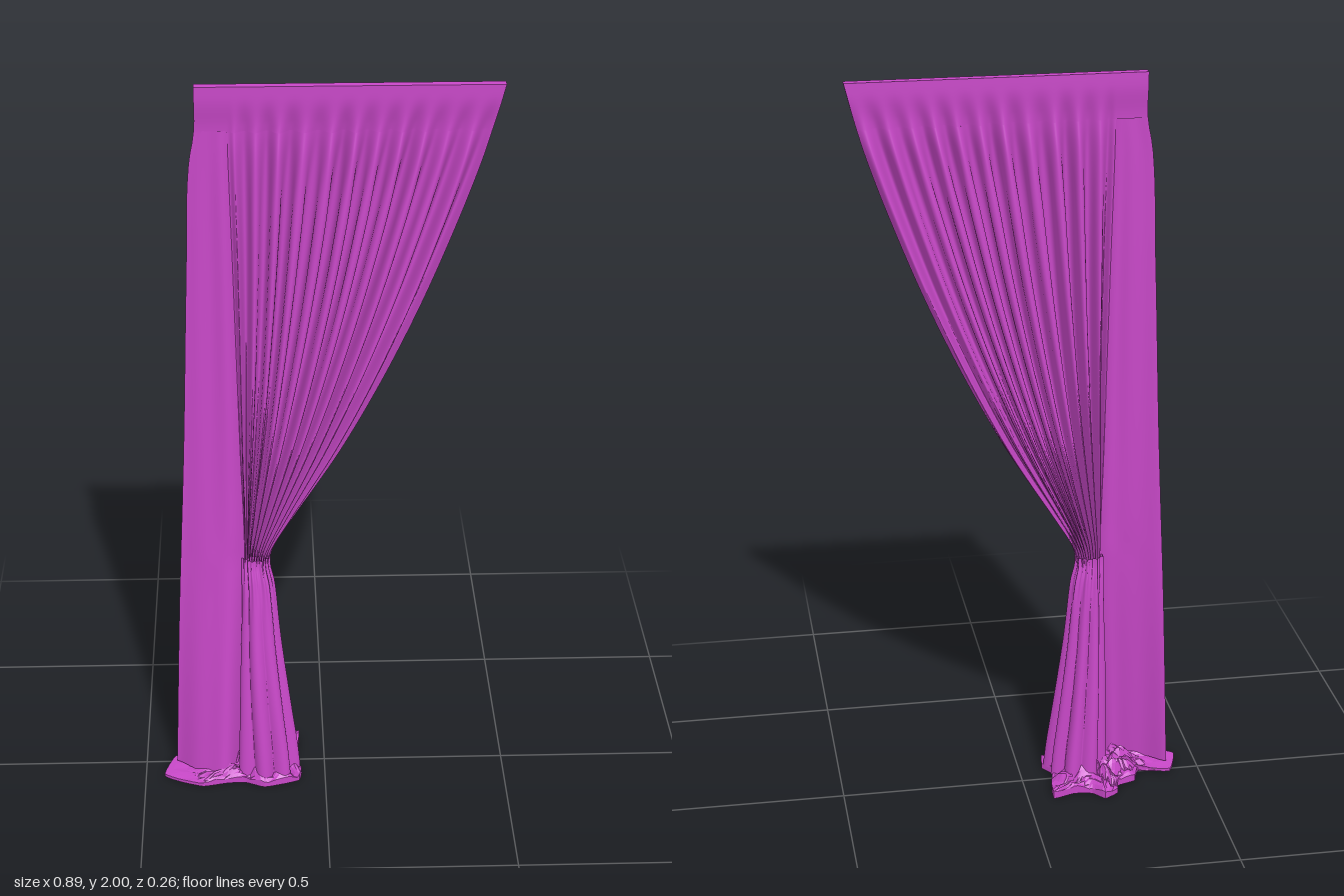
import * as THREE from 'three';

const material = new THREE.MeshStandardMaterial({ color: 0xc848c8, side: THREE.DoubleSide });
const crumpled = new THREE.MeshStandardMaterial({ color: 0xc848c8, side: THREE.DoubleSide, flatShading: true });
const { lerp, smoothstep } = THREE.MathUtils;

// Smooth function of height through [height, value] pairs
function profile(pairs) {
  const f = new THREE.CubicInterpolant(pairs.map((p) => p[0]), pairs.map((p) => p[1]), 1, new Float32Array(1));
  return (y) => f.evaluate(y)[0];
}

// Outline of the cloth by height: outer edge, start of the pleats, inner edge
const outerX = profile([[0, -0.415], [0.5, -0.395], [1, -0.37], [1.5, -0.35], [1.8, -0.336], [1.88, -0.322], [2, -0.32]]);
const pleatX = profile([[0, -0.24], [0.3, -0.23], [0.67, -0.215], [1, -0.222], [1.5, -0.232], [1.9, -0.24], [2, -0.24]]);
const innerX = profile([[0, -0.068], [0.08, -0.076], [0.2, -0.092], [0.4, -0.116], [0.6, -0.136], [0.665, -0.148], [0.71, -0.135],
  [0.8, -0.082], [0.9, -0.018], [1, 0.043], [1.2, 0.148], [1.4, 0.24], [1.6, 0.32], [1.8, 0.391], [1.9, 0.42], [2, 0.445]]);
// Depth of the folds and the middle plane they swing about
const depth = profile([[0, 0.094], [0.1, 0.088], [0.25, 0.078], [0.45, 0.06], [0.62, 0.042], [0.67, 0.03], [0.73, 0.044],
  [0.9, 0.05], [1.2, 0.053], [1.5, 0.046], [1.7, 0.037], [1.82, 0.026], [1.89, 0.012], [2, 0.005]]);
const middleZ = profile([[0, 0.035], [0.25, 0.028], [0.67, 0.012], [1.2, 0.011], [1.9, 0.006], [2, 0.006]]);
const WAIST = 0.66;
const HEADER_BOTTOM = 1.88;

// Grid surface from point(u, v)
function surface(point, nu, nv) {
  const pos = [];
  const index = [];
  for (let j = 0; j <= nv; j++) {
    for (let i = 0; i <= nu; i++) {
      pos.push(...point(i / nu, j / nv));
      if (i < nu && j < nv) {
        const a = j * (nu + 1) + i;
        const b = a + nu + 1;
        index.push(a, a + 1, b + 1, a, b + 1, b);
      }
    }
  }
  const g = new THREE.BufferGeometry();
  g.setAttribute('position', new THREE.Float32BufferAttribute(pos, 3));
  g.setIndex(index);
  g.computeVertexNormals();
  return g;
}

// Nearly flat panel along the outer edge, swelling forward near the floor
function panelPoint(s, v) {
  const y = lerp(0.015, HEADER_BOTTOM + 0.004, v);
  const flare = Math.pow(1 - v, 2);
  const swell = Math.sin(Math.PI * Math.pow(s, 1.4));
  const z = lerp(0.005 + 0.012 * flare, middleZ(y), s) + swell * (0.006 + 0.055 * flare)
    + depth(y) * 0.18 * Math.sin(Math.PI * 3 * s) * s;
  return [lerp(outerX(y), pleatX(y), s), y, z];
}

// Swing of the pleats about the middle plane, s running from pleat start to inner edge
const FOLDS = 11;
const foldPhase = (s, y) => 2 * Math.PI * FOLDS * s + 0.6 * Math.sin(9 * s)
  + 0.25 * Math.sin(3 * y + 14 * s) * Math.sin(Math.PI * s);
function foldSwing(s, y) {
  const envelope = 0.5 + 0.5 * Math.pow(Math.sin(Math.PI * (0.05 + 0.9 * s)), 0.6);
  const variation = 0.86 + 0.14 * Math.sin(FOLDS * 2.3 * s + 1.5 * y);
  return smoothstep(s, 0, 0.03) * depth(y) * envelope * variation * Math.sin(foldPhase(s, y));
}

// Round pleats that run from the header into the gathered waist
function pleatPoint(s, v) {
  const y = lerp(WAIST, HEADER_BOTTOM + 0.004, v);
  const left = pleatX(y);
  const width = innerX(y) - left;
  const round = 0.11 * smoothstep(HEADER_BOTTOM - y, 0, 0.25) * (width / FOLDS);
  const x = left + width * s - round * Math.sin(2 * foldPhase(s, y)) * Math.sin(Math.PI * s);
  return [x, y, middleZ(y) + foldSwing(s, y)];
}

// Gathered bundle below the waist, opening into a few broad folds
function skirtPoint(u, v) {
  const y = lerp(0.015, WAIST + 0.015, v);
  const a = 2 * Math.PI * u;
  const left = pleatX(y) - 0.008;
  const half = (innerX(y) - left) / 2;
  const lobes = 0.16 + 0.1 * (1 - v);
  const r = 1 - lobes * (1 - Math.abs(Math.sin(4 * a + 0.5 + 0.5 * Math.sin(a + 3 * y))))
    + 0.05 * Math.sin(3 * a + 5 * y) * (1 - v) + 0.07 * Math.sin(18 * a) * smoothstep(v, 0.7, 1);
  return [left + half + half * r * Math.cos(a), y, middleZ(y) + depth(y) * r * Math.sin(a)];
}

// Stiff header band whose lower edge follows the pleats
function headerGeometry() {
  const g = new THREE.BoxGeometry(1, 2 - HEADER_BOTTOM, 1, 200, 8, 1);
  const p = g.attributes.position;
  for (let i = 0; i < p.count; i++) {
    const y = p.getY(i) + (2 + HEADER_BOTTOM) / 2;
    const x = lerp(outerX(y), innerX(y), p.getX(i) + 0.5);
    const s = THREE.MathUtils.clamp((x - pleatX(y)) / (innerX(y) - pleatX(y)), 0, 1);
    const drop = smoothstep(2 - y, 0.03, 2 - HEADER_BOTTOM);
    p.setXYZ(i, x, y, 0.006 + p.getZ(i) * 2 * lerp(0.012, 0.002, drop) + drop * foldSwing(s, y));
  }
  g.computeVertexNormals();
  return g;
}

// Crumpled cloth lying on the floor, with a flat flap at the outer corner
const CENTRE = new THREE.Vector3(-0.2, 0, 0.015);
const puddleOutline = new THREE.CatmullRomCurve3([
  [-0.448, 0.07], [-0.4, 0.1], [-0.34, 0.122], [-0.27, 0.108], [-0.22, 0.108], [-0.17, 0.13], [-0.11, 0.115],
  [-0.072, 0.1], [-0.065, 0.06], [-0.09, 0.02], [-0.075, -0.04], [-0.07, -0.11], [-0.13, -0.092], [-0.18, -0.1],
  [-0.21, -0.133], [-0.25, -0.108], [-0.258, -0.07], [-0.31, -0.05], [-0.33, 0], [-0.418, -0.015],
].map(([x, z]) => new THREE.Vector3(x, 0, z)), true, 'catmullrom', 0.2);

function puddlePoint(u, v) {
  const r = Math.min(1, v / 0.92);
  const { x, z } = puddleOutline.getPoint((1 - u) % 1).lerp(CENTRE, 1 - r);
  const flap = smoothstep(x, -0.38, -0.27);
  const creases = Math.abs(Math.sin(48 * x + 25 * z + 2 * Math.sin(40 * z)))
    + 0.7 * Math.abs(Math.sin(62 * z - 30 * x + 1.5 * Math.sin(45 * x)));
  const y = 0.008 + (0.004 + 0.034 * flap) * creases * (1 - 0.75 * r * r);
  return [x, v > 0.97 ? 0 : y, z];
}

// Creased underside closing the floor cloth
function undersidePoint(u, v) {
  const { x, z } = puddleOutline.getPoint(u % 1).lerp(CENTRE, 1 - v);
  return [x, v < 1 ? 0.006 * Math.abs(Math.sin(45 * x + 2 * Math.sin(38 * z))) : 0, z];
}

export function createModel() {
  const group = new THREE.Group();
  group.name = 'curtain';
  const add = (name, geometry, mat = material) => {
    const mesh = new THREE.Mesh(geometry, mat);
    mesh.name = name;
    group.add(mesh);
  };
  add('header', headerGeometry());
  add('sidePanel', surface(panelPoint, 24, 60));
  add('gatheredPleats', surface(pleatPoint, 330, 70));
  add('gatheredSkirt', surface((u, v) => skirtPoint(1 - u, v), 160, 40));
  add('floorFolds', surface(puddlePoint, 80, 13), crumpled);
  add('floorUnderside', surface(undersidePoint, 80, 8), crumpled);
  return group;
}
